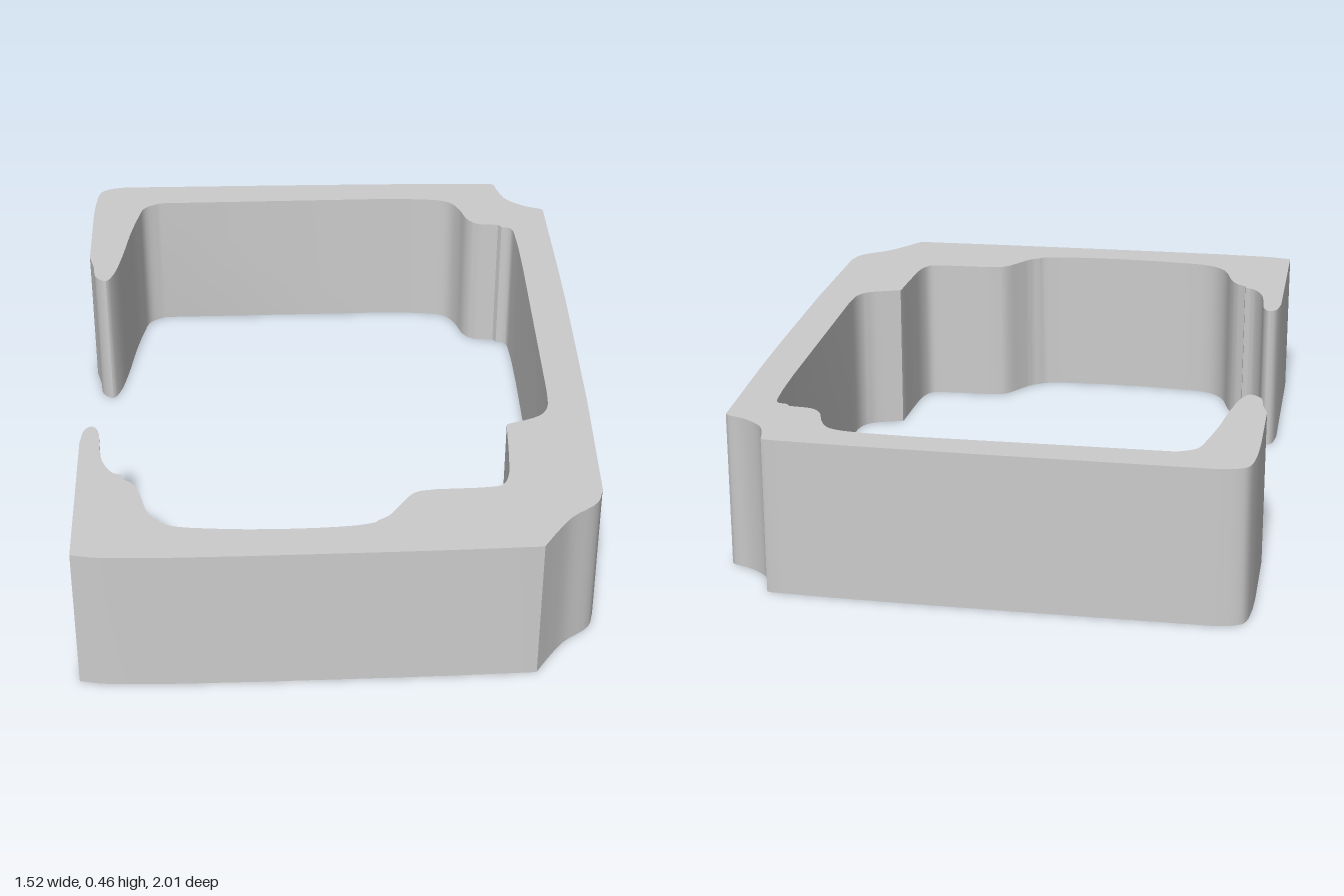
import * as THREE from 'three';
import { toCreasedNormals } from 'three/addons/utils/BufferGeometryUtils.js';

const HEIGHT = 0.46;

// Smooth run through [x, z] points; z is flipped because the shape is laid down later
function curve(points, steps = 4) {
  const spline = new THREE.CatmullRomCurve3(
    points.map(([x, z]) => new THREE.Vector3(x, -z, 0)), false, 'centripetal');
  return spline.getPoints((points.length - 1) * steps).map(p => new THREE.Vector2(p.x, p.y));
}

// Outer wall, from the front left corner round to the back left corner.
// Runs are joined by straight lines.
const frontEdge = [[-0.74, 0.985], [-0.65, 1], [0.2, 1], [0.54, 0.992]];
const frontChamfer = [[0.56, 0.99], [0.6, 0.93], [0.65, 0.865], [0.73, 0.8], [0.75, 0.74]];
const sideEdge = [[0.76, 0.3], [0.76, -0.3], [0.75, -0.78]];
const backNotch = [[0.75, -0.8], [0.74, -0.81], [0.69, -0.83], [0.63, -0.88], [0.61, -0.93], [0.6, -0.975]];
const backEdge = [[0.59, -0.98], [0.4, -0.988], [0, -0.995], [-0.66, -1]];
const backCorner = [[-0.66, -1], [-0.71, -0.99], [-0.74, -0.97], [-0.755, -0.9], [-0.76, -0.8]];

// Tapered tip at the back of the opening
const backTip = [[-0.76, -0.55], [-0.745, -0.49], [-0.735, -0.43], [-0.702, -0.405], [-0.68, -0.44],
  [-0.655, -0.55], [-0.635, -0.68], [-0.61, -0.8], [-0.59, -0.86], [-0.54, -0.89]];

// Inner wall, from the back round to the front
const innerBack = [[0.2, -0.893], [0.39, -0.88], [0.44, -0.86], [0.47, -0.81], [0.49, -0.75], [0.52, -0.72], [0.59, -0.71]];
const innerStep = [[0.6, -0.695], [0.63, -0.685], [0.64, -0.62], [0.645, -0.45]];
const innerSide = [[0.645, 0.25], [0.637, 0.34], [0.61, 0.38], [0.51, 0.42]];
const innerBlock = [[0.508, 0.43], [0.5, 0.58], [0.49, 0.67], [0.47, 0.71], [0.43, 0.72],
  [0.24, 0.73], [0.21, 0.745], [0.17, 0.8], [0.14, 0.84], [0.11, 0.86]];
const innerFront = [[0.1, 0.87], [0.04, 0.882], [-0.15, 0.89], [-0.35, 0.882], [-0.48, 0.86],
  [-0.53, 0.81], [-0.56, 0.71], [-0.58, 0.67], [-0.61, 0.645]];

// Narrow tip at the front of the opening
const frontTip = [[-0.612, 0.628], [-0.64, 0.615], [-0.67, 0.56], [-0.68, 0.5], [-0.69, 0.41],
  [-0.708, 0.39], [-0.728, 0.405], [-0.74, 0.47]];

export function createModel() {
  const group = new THREE.Group();
  group.name = 'openClip';

  const outline = [
    frontEdge, frontChamfer, sideEdge, backNotch, backEdge, backCorner, backTip,
    innerBack, innerStep, innerSide, innerBlock, innerFront, frontTip,
  ].flatMap(run => curve(run))
    .filter((p, i, all) => i === 0 || p.distanceTo(all[i - 1]) > 1e-4);

  // Extrude the C-shaped section upwards
  const geometry = new THREE.ExtrudeGeometry(new THREE.Shape(outline), { depth: HEIGHT, bevelEnabled: false });
  geometry.rotateX(-Math.PI / 2);

  const band = new THREE.Mesh(
    toCreasedNormals(geometry, 0.6),
    new THREE.MeshStandardMaterial({ color: 0xcccccc }));
  band.name = 'clipBand';
  group.add(band);
  return group;
}
